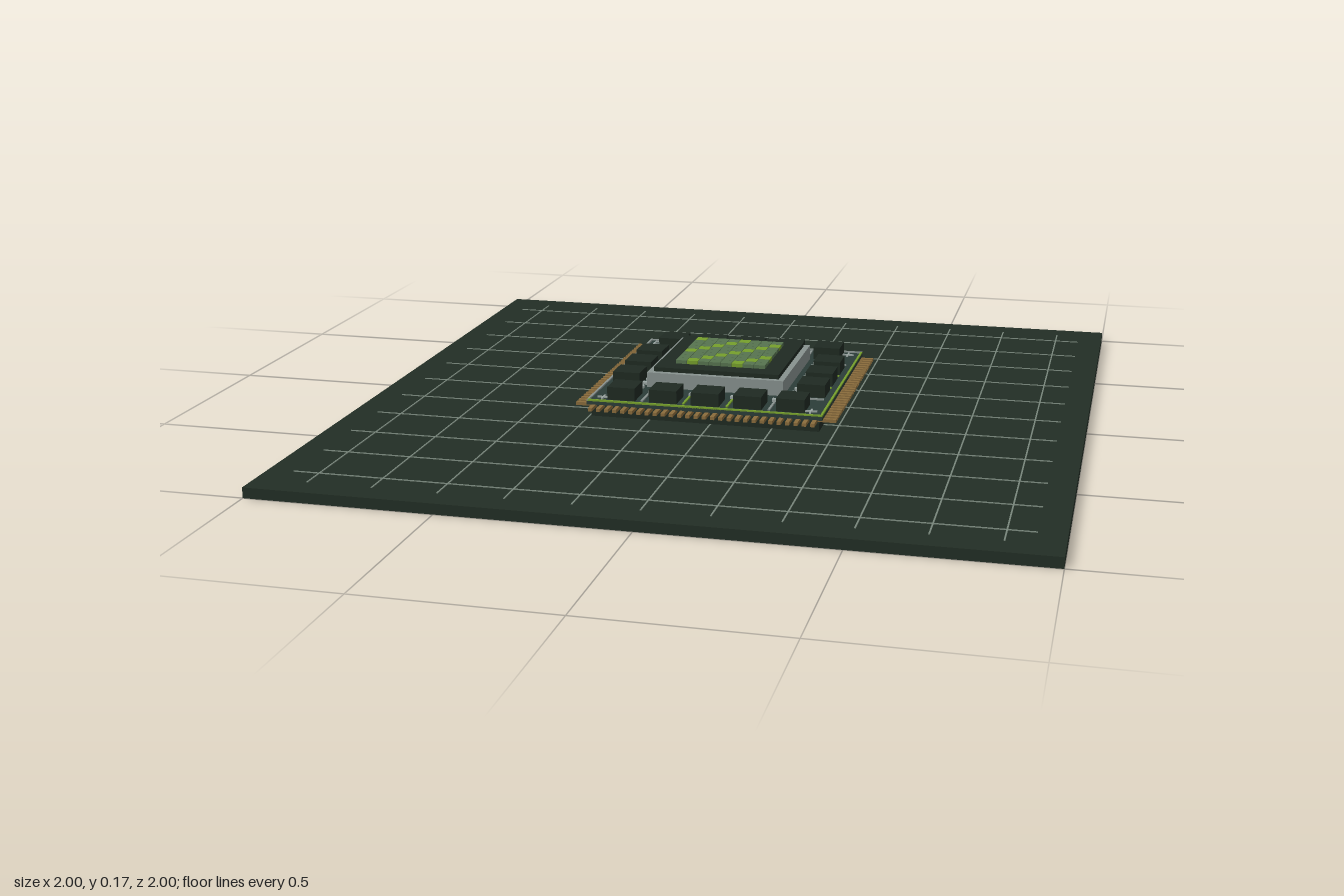
import * as THREE from 'three';
import { mergeGeometries } from 'three/addons/utils/BufferGeometryUtils.js';

const mat = (name, color) => {
  const m = new THREE.MeshStandardMaterial({ color });
  m.name = name;
  return m;
};

// Box given by centre x/z, footprint and bottom/top heights
const box = (x, z, w, d, y0, y1) =>
  new THREE.BoxGeometry(w, y1 - y0, d).translate(x, (y0 + y1) / 2, z);

// Square ring of four bars, outer half size h and bar width t
const ring = (x, z, h, t, y0, y1) => [
  box(x, z - h + t / 2, 2 * h, t, y0, y1),
  box(x, z + h - t / 2, 2 * h, t, y0, y1),
  box(x - h + t / 2, z, t, 2 * h - 2 * t, y0, y1),
  box(x + h - t / 2, z, t, 2 * h - 2 * t, y0, y1),
];

export function createModel() {
  const group = new THREE.Group();
  const baseMat = mat('dark green base', 0x222e25);
  const boardMat = mat('teal board', 0x2c3d38);
  const blockMat = mat('near black casing', 0x1f2a22);
  const lineMat = mat('grey green line', 0x78867b);
  const metalMat = mat('grey metal', 0x88928f);
  const padMat = mat('pale pad', 0x9aa5a2);
  const brightMat = mat('bright green', 0x769f2c);
  const dullMat = mat('soft green', 0x56734f);
  const goldMat = mat('dull gold', 0x8a6c3c);

  const add = (name, material, parts) => {
    const mesh = new THREE.Mesh(mergeGeometries(parts), material);
    mesh.name = name;
    group.add(mesh);
  };

  // Base slab with an engraved-looking line grid
  add('baseSlab', baseMat, [box(0, 0, 2, 2, 0, 0.028)]);
  const lines = [];
  for (let i = -5; i <= 5; i++) {
    const p = i * 0.172;
    lines.push(box(p, 0, 0.004, 1.86, 0.027, 0.03), box(0, p, 1.86, 0.004, 0.027, 0.03));
  }
  add('gridLines', lineMat, lines);

  // Floating package: plinth and circuit board
  add('plinth', blockMat, [box(0, 0, 0.63, 0.63, 0.054, 0.077)]);
  add('circuitBoard', boardMat, [box(0, 0, 0.65, 0.65, 0.088, 0.099)]);

  // Contact pins on all four sides
  const pins = [];
  for (let i = 0; i < 28; i++) {
    const p = (i - 13.5) * 0.0226;
    for (const s of [-1, 1]) {
      pins.push(box(p, s * 0.335, 0.011, 0.05, 0.08, 0.089));
      pins.push(box(s * 0.335, p, 0.05, 0.011, 0.08, 0.089));
    }
  }
  add('contactPins', goldMat, pins);

  // Edge trim: grey on the left-back edges, green on the right-front ones
  add('greyTrim', metalMat, [
    box(0, -0.322, 0.65, 0.006, 0.098, 0.103), box(-0.322, 0, 0.006, 0.65, 0.098, 0.103)]);
  add('greenTrim', brightMat, [
    box(0, 0.322, 0.65, 0.006, 0.098, 0.103), box(0.322, 0, 0.006, 0.65, 0.098, 0.103)]);

  // Blocks around the processor: five along front and back, three on each side
  const blocks = [];
  const greyTraces = [];
  const greenTraces = [];
  for (const s of [-1, 1]) {
    for (let i = -2; i <= 2; i++) {
      const p = i * 0.117;
      blocks.push(box(p, s * 0.265, 0.077, 0.077, 0.099, 0.135));
      if (Math.abs(i) < 2) blocks.push(box(s * 0.262, p, 0.077, 0.077, 0.099, 0.135));
    }
    for (const p of [-0.176, -0.06, 0.06, 0.176]) {
      const list = Math.abs(p) > 0.1 ? greyTraces : greenTraces;
      list.push(box(p, s * 0.267, 0.006, 0.07, 0.098, 0.103));
      list.push(box(s * 0.267, p, 0.07, 0.006, 0.098, 0.103));
    }
  }
  add('memoryBlocks', blockMat, blocks);
  add('greyTraces', metalMat, greyTraces);
  add('greenTraces', brightMat, greenTraces);

  // Corner marks: one square, three crosses
  const marks = ring(-0.288, -0.288, 0.017, 0.005, 0.098, 0.103);
  for (const [x, z] of [[1, -1], [-1, 1], [1, 1]]) {
    marks.push(box(x * 0.288, z * 0.288, 0.034, 0.005, 0.098, 0.103));
    marks.push(box(x * 0.288, z * 0.288, 0.005, 0.034, 0.098, 0.103));
  }
  add('cornerMarks', padMat, marks);

  // Small pads around the processor frame
  const pads = [];
  for (let i = 0; i < 12; i++) {
    const p = (i - 5.5) * 0.0387;
    for (const s of [-1, 1]) {
      pads.push(box(p, s * 0.213, 0.015, 0.015, 0.098, 0.106));
      if (i > 0 && i < 11) pads.push(box(s * 0.213, p, 0.015, 0.015, 0.098, 0.106));
    }
  }
  add('solderPads', padMat, pads);

  // Processor: metal frame, dark lid and tiled die
  add('processorFrame', metalMat, ring(0, 0, 0.192, 0.02, 0.108, 0.15));
  add('processorLid', blockMat, [box(0, 0, 0.352, 0.352, 0.108, 0.162)]);
  const dull = [];
  const bright = [];
  for (let r = 0; r < 8; r++) {
    for (let c = 0; c < 8; c++) {
      const tile = box((c - 3.5) * 0.0318, (r - 3.5) * 0.0318, 0.0305, 0.0305, 0.161, 0.172);
      ((r + c) % 4 === 0 ? bright : dull).push(tile);
    }
  }
  add('dieTiles', dullMat, dull);
  add('litDieTiles', brightMat, bright);

  return group;
}
